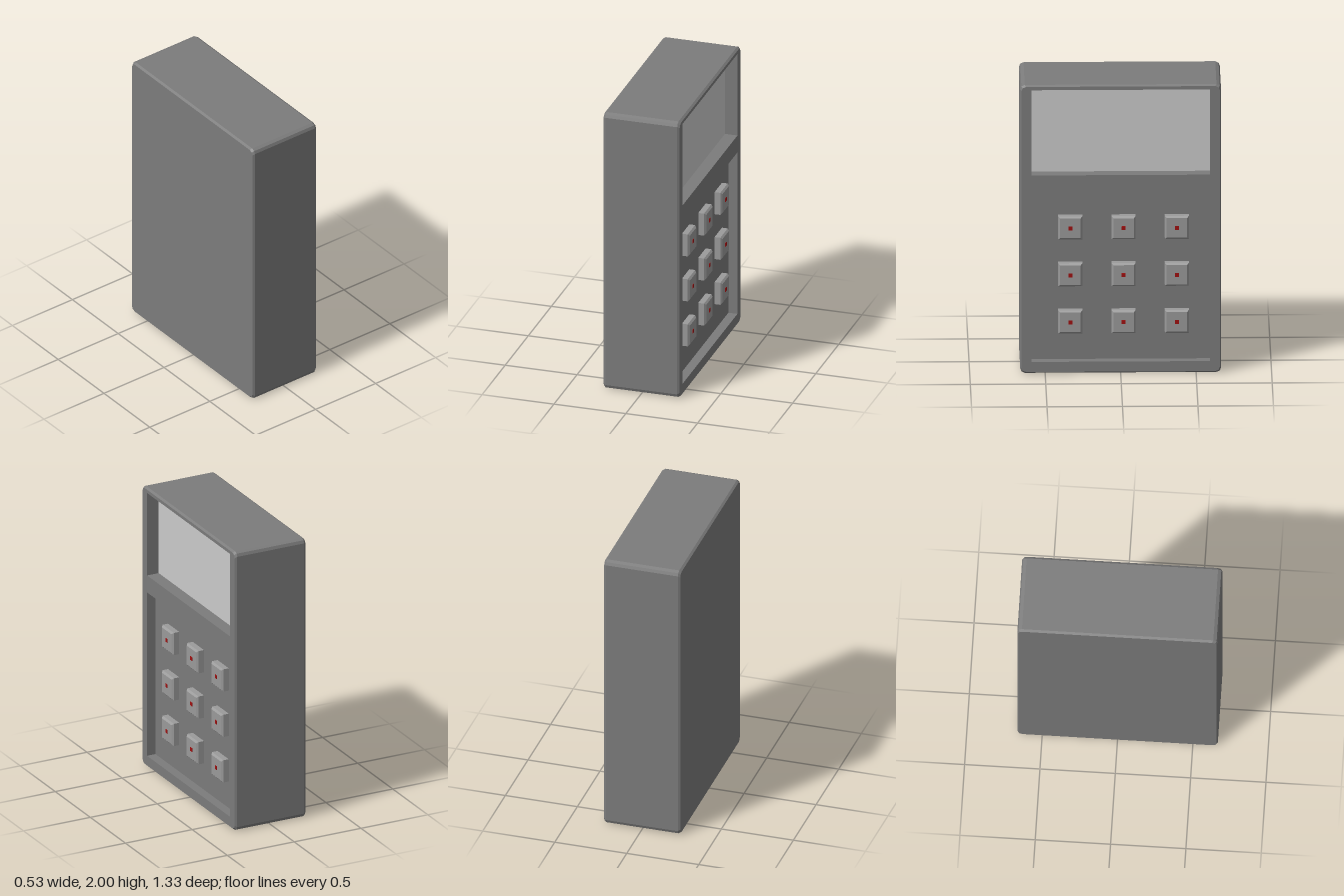
import * as THREE from 'three';

const mat = (color) => new THREE.MeshStandardMaterial({ color, flatShading: true });

// rectangle in the (−z, y) plane, usable as outline or hole
function rect(hw, y0, y1, Type = THREE.Shape) {
  const s = new Type();
  s.moveTo(-hw, y0);
  s.lineTo(hw, y0);
  s.lineTo(hw, y1);
  s.lineTo(-hw, y1);
  s.closePath();
  return s;
}

// case outline with softened corners
function outline() {
  const corner = [[0.665, 0.97], [0.657, 0.99], [0.635, 1]];
  const pts = [];
  for (const [sx, sy] of [[1, 1], [-1, 1], [-1, -1], [1, -1]]) {
    const c = sx * sy > 0 ? corner : [...corner].reverse();
    for (const [u, v] of c) pts.push(new THREE.Vector2(sx * u, 1 + sy * v));
  }
  return new THREE.Shape(pts);
}

// extrude a side outline from x0 to x1; the rim at x = taperAt is drawn in
function slab(name, shape, x0, x1, material, taperAt = null) {
  const g = new THREE.ExtrudeGeometry(shape, { depth: x1 - x0, bevelEnabled: false });
  g.rotateY(Math.PI / 2);
  g.translate(x0, 0, 0);
  const p = g.attributes.position;
  for (let i = 0; taperAt !== null && i < p.count; i++) {
    const y = p.getY(i), z = p.getZ(i);
    const outer = Math.abs(z) > 0.62 || Math.abs(y - 1) > 0.975;
    if (outer && Math.abs(p.getX(i) - taperAt) < 1e-4) {
      p.setY(i, 1 + (y - 1) * 0.99);
      p.setZ(i, z * 0.988);
    }
  }
  g.computeVertexNormals();
  const m = new THREE.Mesh(g, material);
  m.name = name;
  return m;
}

export function createModel() {
  const model = new THREE.Group();
  model.name = 'keypadDevice';
  const dark = mat(0x7c7c7c), light = mat(0xcccccc), key = mat(0x9b9b9b), red = mat(0xa01010);

  // case: bevelled back, core, and a frame with two openings
  const framed = () => {
    const s = outline();
    s.holes.push(rect(0.592, 1.375, 1.967, THREE.Path), rect(0.592, 0.08, 1.253, THREE.Path));
    return s;
  };
  const body = new THREE.Group();
  body.name = 'case';
  body.add(
    slab('caseBack', outline(), -0.265, -0.25, dark, -0.265),
    slab('caseCore', outline(), -0.25, 0.17, dark),
    slab('caseFrame', framed(), 0.17, 0.25, dark),
    slab('caseRim', framed(), 0.25, 0.265, dark, 0.265)
  );
  model.add(body);

  // recessed screen and key panel
  model.add(
    slab('screen', rect(0.592, 1.375, 1.967), 0.165, 0.178, light),
    slab('keyPanel', rect(0.592, 0.08, 1.253), 0.165, 0.202, dark)
  );

  // keys: chamfered blocks, each with a small red mark
  const keyGeo = new THREE.ExtrudeGeometry(rect(0.068, -0.068, 0.068), {
    depth: 0.04, bevelEnabled: true, bevelThickness: 0.012, bevelSize: 0.012, bevelSegments: 1
  });
  keyGeo.rotateY(Math.PI / 2);
  const markGeo = new THREE.BoxGeometry(0.01, 0.026, 0.026);
  for (const y of [1.003, 0.677, 0.35]) {
    for (const z of [0.333, -0.02, -0.373]) {
      const button = new THREE.Group();
      button.name = 'key';
      const cap = new THREE.Mesh(keyGeo, key);
      cap.name = 'keyCap';
      const mark = new THREE.Mesh(markGeo, red);
      mark.name = 'keyMark';
      mark.position.x = 0.05;
      button.add(cap, mark);
      button.position.set(0.202, y, z);
      model.add(button);
    }
  }
  return model;
}
